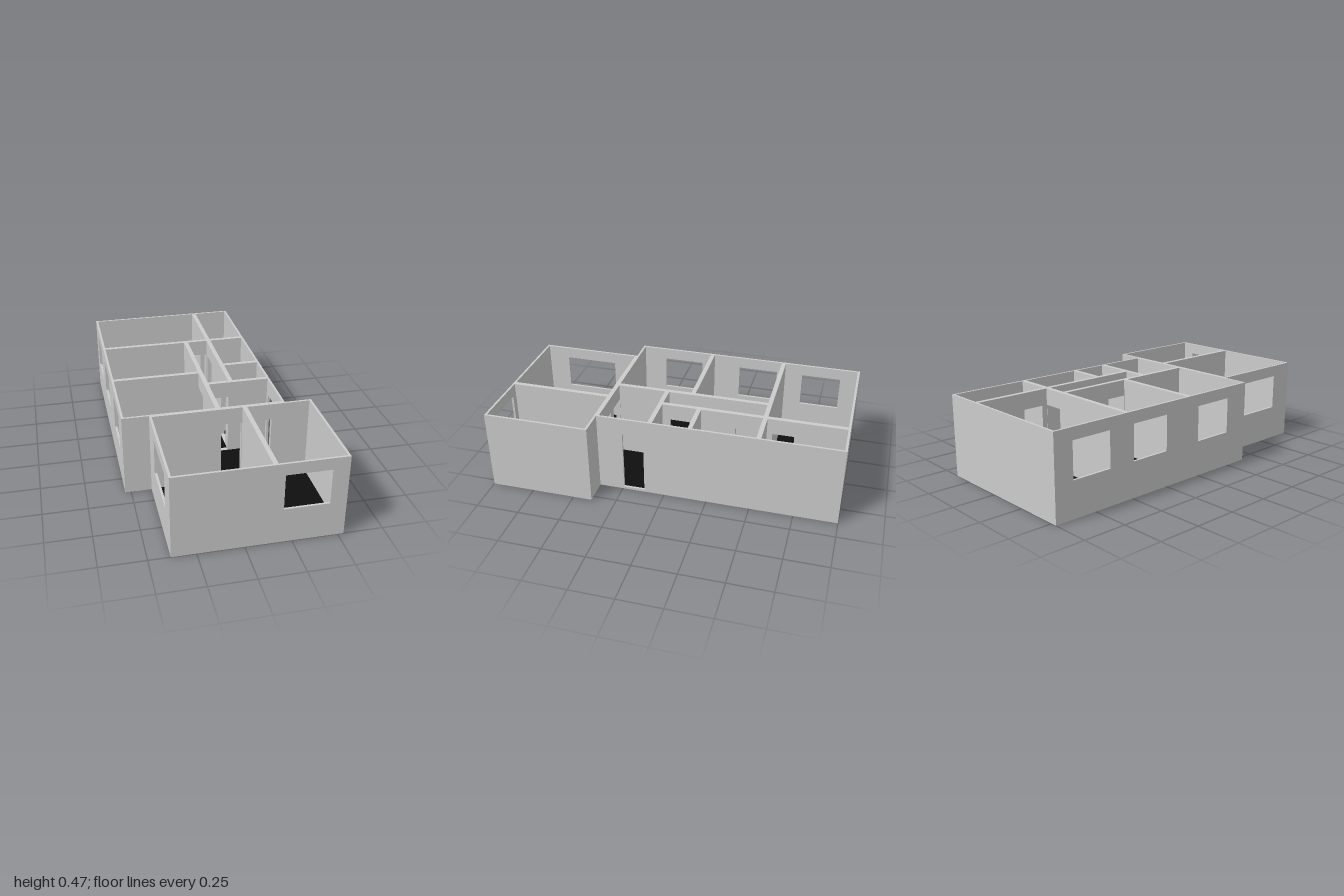
import * as THREE from 'three';

const H = 0.475;          // wall height
const T = 0.013;          // outer wall thickness (inner walls are double)
const FLOOR = 0.015;      // floor level
const STEP = 0.39;        // where the offset front wing begins

const grey = new THREE.MeshStandardMaterial({ color: 0xcccccc });
const dark = new THREE.MeshStandardMaterial({ color: 0x0f0f0f });

// openings along a wall: [from, to, bottom, top]
const door = (a, b) => [a, b, FLOOR, 0.38];
const win = (a, b) => [a, b, 0.204, 0.408];

// upright wall panel with rectangular holes; lo..hi is its thickness range
function wall(name, axis, lo, hi, from, to, openings = []) {
  // walls along z are drawn mirrored, because the turn sends +x to -z
  const s = axis === 'z' ? -1 : 1;
  const rect = (P, a, b, y0, y1) => {
    const [l, r] = [Math.min(s * a, s * b), Math.max(s * a, s * b)];
    const p = new P();
    p.moveTo(l, y0);
    p.lineTo(r, y0);
    p.lineTo(r, y1);
    p.lineTo(l, y1);
    p.closePath();
    return p;
  };
  const shape = rect(THREE.Shape, from, to, 0, H);
  for (const o of openings) shape.holes.push(rect(THREE.Path, ...o));
  const geo = new THREE.ExtrudeGeometry(shape, { depth: hi - lo, bevelEnabled: false });
  geo.translate(0, 0, lo);
  if (axis === 'z') geo.rotateY(Math.PI / 2);
  const mesh = new THREE.Mesh(geo, grey);
  mesh.name = name;
  return mesh;
}

export function createModel() {
  const model = new THREE.Group();
  model.name = 'floorPlanHouse';

  // main block x -0.533..0.38, z -1..STEP; front wing x -0.383..0.533, z STEP..1
  const outer = new THREE.Group();
  outer.name = 'outerWalls';
  outer.add(
    wall('backWall', 'x', -1, -1 + T, -0.533, 0.38),
    wall('mainRightWall', 'z', -0.533, -0.533 + T, -1, STEP,
      [win(-0.887, -0.65), win(-0.49, -0.25), win(-0.005, 0.238)]),
    wall('mainLeftWall', 'z', 0.38 - T, 0.38, -1, STEP, [door(0.118, 0.241)]),
    wall('mainFrontWall', 'x', STEP - T, STEP, -0.533, 0.38,
      [door(0.016, 0.132), door(0.181, 0.304)]),
    wall('wingBackWall', 'x', STEP, STEP + T, -0.383, 0.533,
      [door(0.016, 0.132), door(0.181, 0.304)]),
    wall('wingRightWall', 'z', -0.383, -0.383 + T, STEP, 1, [win(0.54, 0.858)]),
    wall('wingLeftWall', 'z', 0.533 - T, 0.533, STEP, 1),
    wall('wingFrontWall', 'x', 1 - T, 1, -0.383, 0.533, [win(0.198, 0.443)])
  );
  model.add(outer);

  // partitions, centred on their lines: [name, axis, line, from, to, openings]
  const inner = new THREE.Group();
  inner.name = 'innerWalls';
  const partitions = [
    ['rearCrossWall', 'x', -0.53, -0.527, 0.374, [door(0.015, 0.133)]],
    ['bedroomCrossWall', 'x', -0.074, -0.527, 0],
    ['bathCrossWall', 'x', -0.149, 0.148, 0.374],
    ['hallCrossWall', 'x', 0.08, 0, 0.374, [door(0.015, 0.133)]],
    ['hallRightWall', 'z', 0, -0.53, STEP - 0.006, [door(-0.212, -0.09), door(-0.058, 0.064)]],
    ['hallLeftWall', 'z', 0.148, -0.994, 0.08,
      [door(-0.698, -0.575), door(-0.485, -0.362), door(-0.1, 0.022)]],
    ['wingCrossWall', 'z', 0.148, STEP + 0.006, 0.994],
  ];
  for (const [name, axis, line, from, to, openings] of partitions)
    inner.add(wall(name, axis, line - T, line + T, from, to, openings));
  model.add(inner);

  // floor slabs with a dark finish on top: [name, x0, x1, z0, z1]
  const floors = [
    ['mainFloor', -0.533, 0.38, -1, STEP],
    ['wingFloor', -0.383, 0.533, STEP, 1],
  ];
  for (const [name, x0, x1, z0, z1] of floors) {
    const w = x1 - x0 - T, d = z1 - z0 - T;
    const slab = new THREE.Mesh(new THREE.BoxGeometry(w, FLOOR - 0.003, d), grey);
    slab.position.set((x0 + x1) / 2, (FLOOR - 0.003) / 2, (z0 + z1) / 2);
    slab.name = name + 'Slab';
    const finish = new THREE.Mesh(new THREE.PlaneGeometry(w, d).rotateX(-Math.PI / 2), dark);
    finish.position.set((x0 + x1) / 2, FLOOR - 0.001, (z0 + z1) / 2);
    finish.name = name + 'Finish';
    model.add(slab, finish);
  }
  return model;
}
